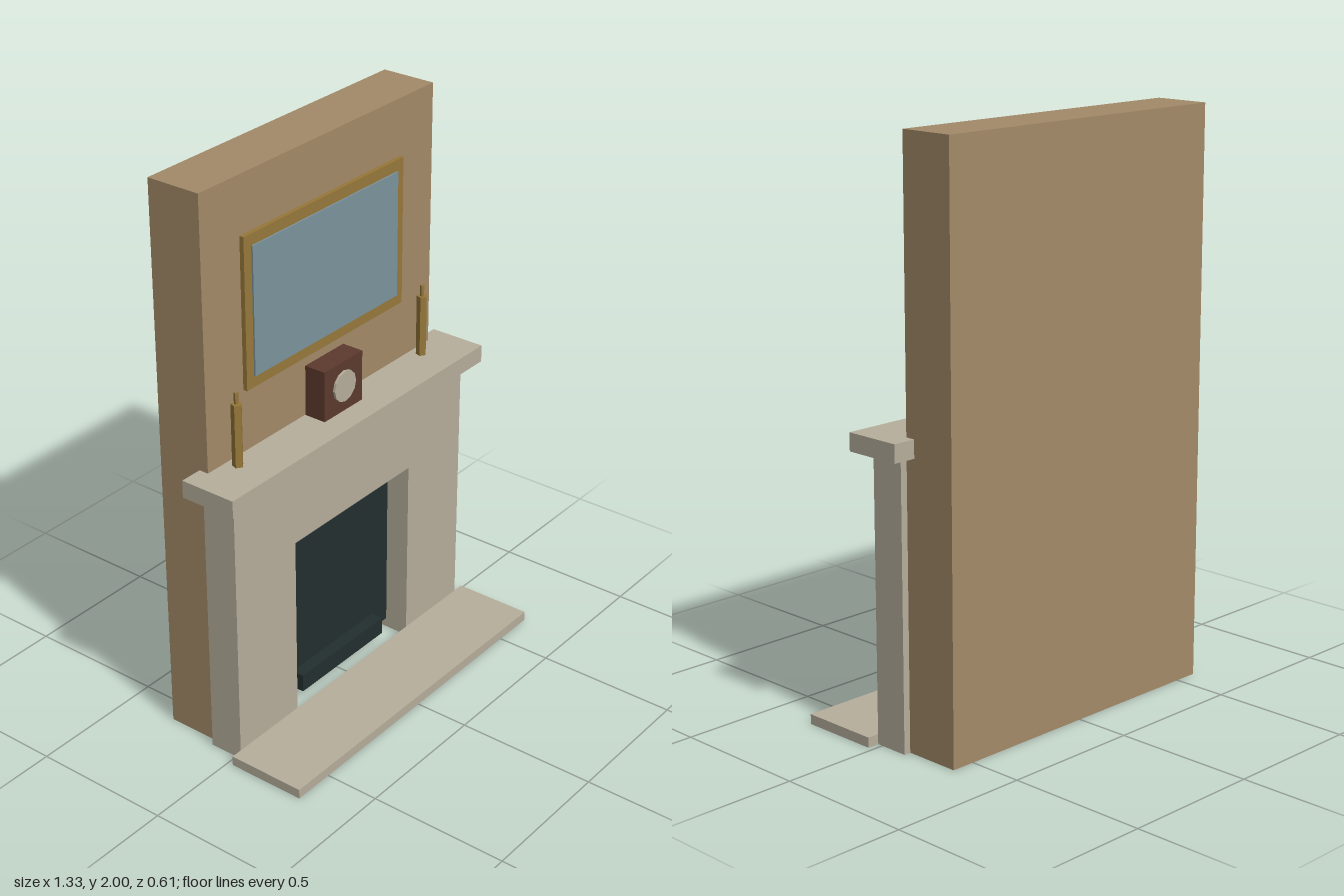
import * as THREE from 'three';

const mat = (name, color) => {
  const m = new THREE.MeshStandardMaterial({ color });
  m.name = name;
  m.flatShading = true;
  return m;
};

export function createModel() {
  const plaster = mat('tan plaster', 0xa38a69);
  const stone = mat('pale stone', 0xb6ae9c);
  const brass = mat('brass', 0x97783a);
  const glass = mat('blue grey glass', 0x7c939c);
  const iron = mat('dark iron', 0x222e2f);
  const wood = mat('dark wood', 0x5c3a2d);

  const group = new THREE.Group();
  group.name = 'fireplace';

  const add = (name, geometry, material, x = 0, y = 0, z = 0, parent = group) => {
    const mesh = new THREE.Mesh(geometry, material);
    mesh.name = name;
    mesh.position.set(x, y, z);
    parent.add(mesh);
    return mesh;
  };
  // Box given by its half width and its y and z limits
  const box = (name, material, hw, y0, y1, z0, z1) =>
    add(name, new THREE.BoxGeometry(hw * 2, y1 - y0, z1 - z0), material, 0, (y0 + y1) / 2, (z0 + z1) / 2);
  const rect = (path, hw, y0, y1) =>
    path.moveTo(-hw, y0).lineTo(hw, y0).lineTo(hw, y1).lineTo(-hw, y1).closePath();

  // Wall and masonry
  box('chimneyBreast', plaster, 0.585, 0, 2, -0.305, -0.105);
  box('hearth', stone, 0.652, 0, 0.035, 0.02, 0.305);
  box('mantelShelf', stone, 0.667, 0.985, 1.047, -0.14, 0.067);

  // Surround: an arch open at the floor
  const arch = new THREE.Shape();
  [[-0.61, 0], [-0.31, 0], [-0.31, 0.7], [0.31, 0.7], [0.31, 0], [0.61, 0], [0.61, 0.985], [-0.61, 0.985]]
    .forEach(([x, y], i) => (i ? arch.lineTo(x, y) : arch.moveTo(x, y)));
  arch.closePath();
  add('surround', new THREE.ExtrudeGeometry(arch, { depth: 0.125, bevelEnabled: false }), stone, 0, 0, -0.105);

  // Firebox back and grate
  box('fireboxBack', iron, 0.31, 0.035, 0.7, -0.104, -0.07);
  box('grate', iron, 0.225, 0.035, 0.1, -0.07, -0.025);

  // Framed mirror
  const frame = new THREE.Shape();
  rect(frame, 0.405, 1.27, 1.8);
  const opening = new THREE.Path();
  rect(opening, 0.37, 1.31, 1.76);
  frame.holes.push(opening);
  add('mirrorFrame', new THREE.ExtrudeGeometry(frame, { depth: 0.016, bevelEnabled: false }), brass, 0, 0, -0.105);
  box('mirrorGlass', glass, 0.37, 1.31, 1.76, -0.104, -0.083);

  // Mantel clock
  box('clockCase', wood, 0.1, 1.047, 1.23, -0.102, -0.022);
  const dial = new THREE.CylinderGeometry(0.056, 0.056, 0.009, 12).rotateX(Math.PI / 2);
  add('clockDial', dial, stone, 0, 1.142, -0.0178);

  // Candlesticks
  for (const side of [-1, 1]) {
    const candle = new THREE.Group();
    candle.name = side > 0 ? 'leftCandlestick' : 'rightCandlestick';
    candle.position.set(side * 0.488, 1.047, -0.063);
    add('candlestickBody', new THREE.CylinderGeometry(0.019, 0.019, 0.223, 5), brass, 0, 0.1115, 0, candle);
    add('candlestickTip', new THREE.CylinderGeometry(0.008, 0.008, 0.04, 5), brass, 0, 0.243, 0, candle);
    group.add(candle);
  }

  return group;
}
